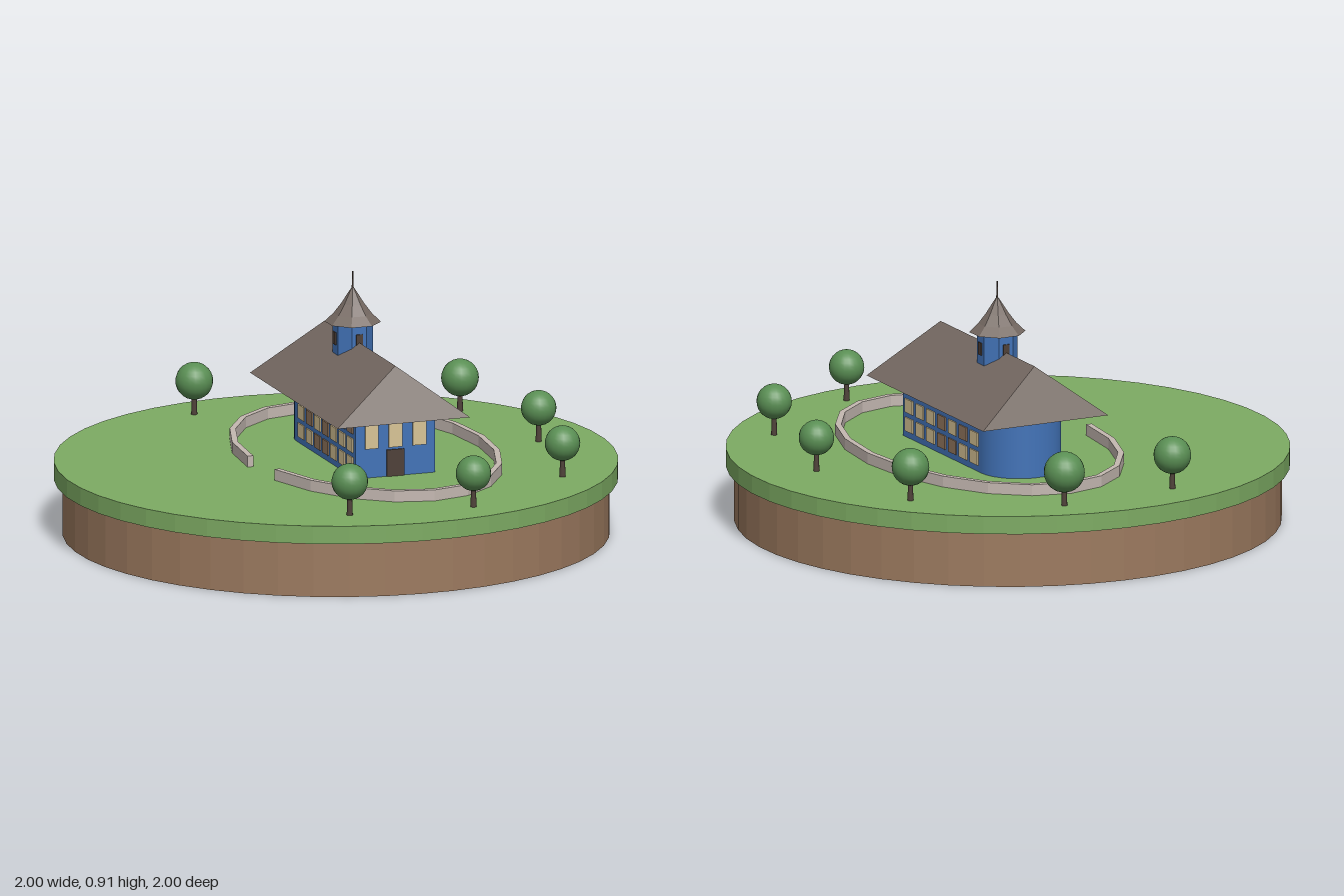
import * as THREE from 'three';
import { ConvexGeometry } from 'three/addons/geometries/ConvexGeometry.js';

const mat = (name, color) => {
  const m = new THREE.MeshStandardMaterial({ color });
  m.name = name;
  return m;
};

// Faceted copy of a geometry
function flat(geometry) {
  const g = geometry.toNonIndexed();
  g.computeVertexNormals();
  return g;
}

export function createModel() {
  const grassGreen = mat('grassGreen', 0x7dab63);
  const earthBrown = mat('earthBrown', 0x9c7a5f);
  const wallBlue = mat('wallBlue', 0x4273b8);
  const roofBrown = mat('roofBrown', 0x766a63);
  const litGlass = mat('litGlass', 0xd8c496);
  const dullGlass = mat('dullGlass', 0x94785f);
  const darkWood = mat('darkWood', 0x4e4038);
  const stone = mat('stone', 0xc4b8b1);
  const leafGreen = mat('leafGreen', 0x5a8f54);

  const model = new THREE.Group();
  function add(parent, name, geometry, material, x = 0, y = 0, z = 0) {
    const mesh = new THREE.Mesh(geometry, material);
    mesh.name = name;
    mesh.position.set(x, y, z);
    parent.add(mesh);
    return mesh;
  }

  // Round base
  const ground = 0.265;
  add(model, 'earthDisc', flat(new THREE.CylinderGeometry(0.97, 0.97, 0.2, 48)), earthBrown, 0, 0.1, 0);
  add(model, 'grassDisc', flat(new THREE.CylinderGeometry(1, 1, 0.065, 48)), grassGreen, 0, 0.2325, 0);

  // Everything in the yard shares one turned frame
  const yard = new THREE.Group();
  yard.name = 'yard';
  yard.position.set(0.04, 0, -0.105);
  yard.rotation.y = -Math.PI / 9;
  model.add(yard);

  // Oval boundary wall with one segment left open as the entrance
  const ring = (a, b) => Array.from({ length: 20 }, (_, i) => {
    const t = Math.PI / 2 + (i * Math.PI) / 10;
    return new THREE.Vector2(Math.cos(t) * a, -Math.sin(t) * b);
  });
  const wallShape = new THREE.Shape([...ring(0.702, 0.447), ...ring(0.68, 0.425).reverse()]);
  const wallGeo = new THREE.ExtrudeGeometry(wallShape, { depth: 0.042, bevelEnabled: false });
  wallGeo.rotateX(-Math.PI / 2);
  add(yard, 'boundaryWall', wallGeo, stone, 0, ground - 0.002, 0);

  // House body with a rounded end
  const house = new THREE.Group();
  house.name = 'house';
  yard.add(house);
  const wallH = 0.213;
  add(house, 'hallWalls', new THREE.BoxGeometry(0.6, wallH, 0.3), wallBlue, 0, ground + wallH / 2, 0);
  add(house, 'roundedEnd', new THREE.CylinderGeometry(0.15, 0.15, wallH, 32, 1, true, Math.PI, Math.PI),
    wallBlue, -0.3, ground + wallH / 2, 0);

  // Three rows of seven windows on both long sides
  const paneGeo = new THREE.BoxGeometry(0.058, 0.05, 0.008);
  for (const side of [1, -1]) {
    for (let row = 0; row < 3; row++) {
      for (let col = 0; col < 7; col++) {
        const dull = (col * 2 + row * 3) % 5 === 4 || (col + row * 2) % 7 === 3;
        add(house, 'sideWindow', paneGeo, dull ? dullGlass : litGlass,
          (col - 3) * 0.083, 0.313 + row * 0.068, side * 0.151);
      }
    }
  }

  // Entrance end: tall windows and a door
  for (const z of [-0.09, 0, 0.09]) {
    add(house, 'endWindow', new THREE.BoxGeometry(0.008, 0.095, 0.05), litGlass, 0.301, 0.418, z);
  }
  add(house, 'door', new THREE.BoxGeometry(0.009, 0.097, 0.065), darkWood, 0.301, ground + 0.0485, 0);

  // Main roof with sloping ends
  const roofPoints = [];
  for (const x of [-1, 1]) {
    roofPoints.push(new THREE.Vector3(x * 0.36, 0.665, 0));
    for (const z of [-1, 1]) roofPoints.push(new THREE.Vector3(x * 0.447, 0.476, z * 0.25));
  }
  add(house, 'mainRoof', new ConvexGeometry(roofPoints), roofBrown, -0.06, 0, 0);

  // Eight-sided turret
  const turret = new THREE.Group();
  turret.name = 'turret';
  turret.position.x = -0.135;
  house.add(turret);
  const phi = Math.PI / 8;
  add(turret, 'turretWalls',
    flat(new THREE.CylinderGeometry(0.072, 0.072, 0.12, 8, 1, false, phi)), wallBlue, 0, 0.67, 0);
  for (let i = 0; i < 4; i++) {
    const window = new THREE.Group();
    window.name = 'turretWindowSide';
    window.rotation.y = (i * Math.PI) / 2;
    turret.add(window);
    add(window, 'turretWindow', new THREE.BoxGeometry(0.024, 0.045, 0.008), darkWood, 0, 0.672, 0.067);
  }
  const spire = [[0, 0.727], [0.1, 0.727], [0.068, 0.758], [0.04, 0.795], [0.018, 0.83], [0, 0.857]];
  add(turret, 'turretRoof',
    flat(new THREE.LatheGeometry(spire.map(p => new THREE.Vector2(...p)), 8, phi)), roofBrown);
  add(turret, 'finial', new THREE.CylinderGeometry(0.003, 0.004, 0.08, 8), darkWood, 0, 0.87, 0);

  // Round trees
  const trees = [
    [-0.265, -0.8, 0.067], [0.26, -0.72, 0.063], [-0.715, -0.485, 0.073], [0.715, -0.445, 0.063],
    [-0.835, -0.05, 0.067], [0.853, 0.085, 0.063], [0.665, 0.5, 0.065],
  ];
  for (const [x, z, r] of trees) {
    const tree = new THREE.Group();
    tree.name = 'tree';
    tree.position.set(x, 0, z);
    model.add(tree);
    add(tree, 'trunk', new THREE.CylinderGeometry(0.008, 0.011, 0.08, 10), darkWood, 0, ground + 0.04, 0);
    add(tree, 'crown', new THREE.SphereGeometry(r, 20, 14), leafGreen, 0, 0.387, 0);
  }
  return model;
}
